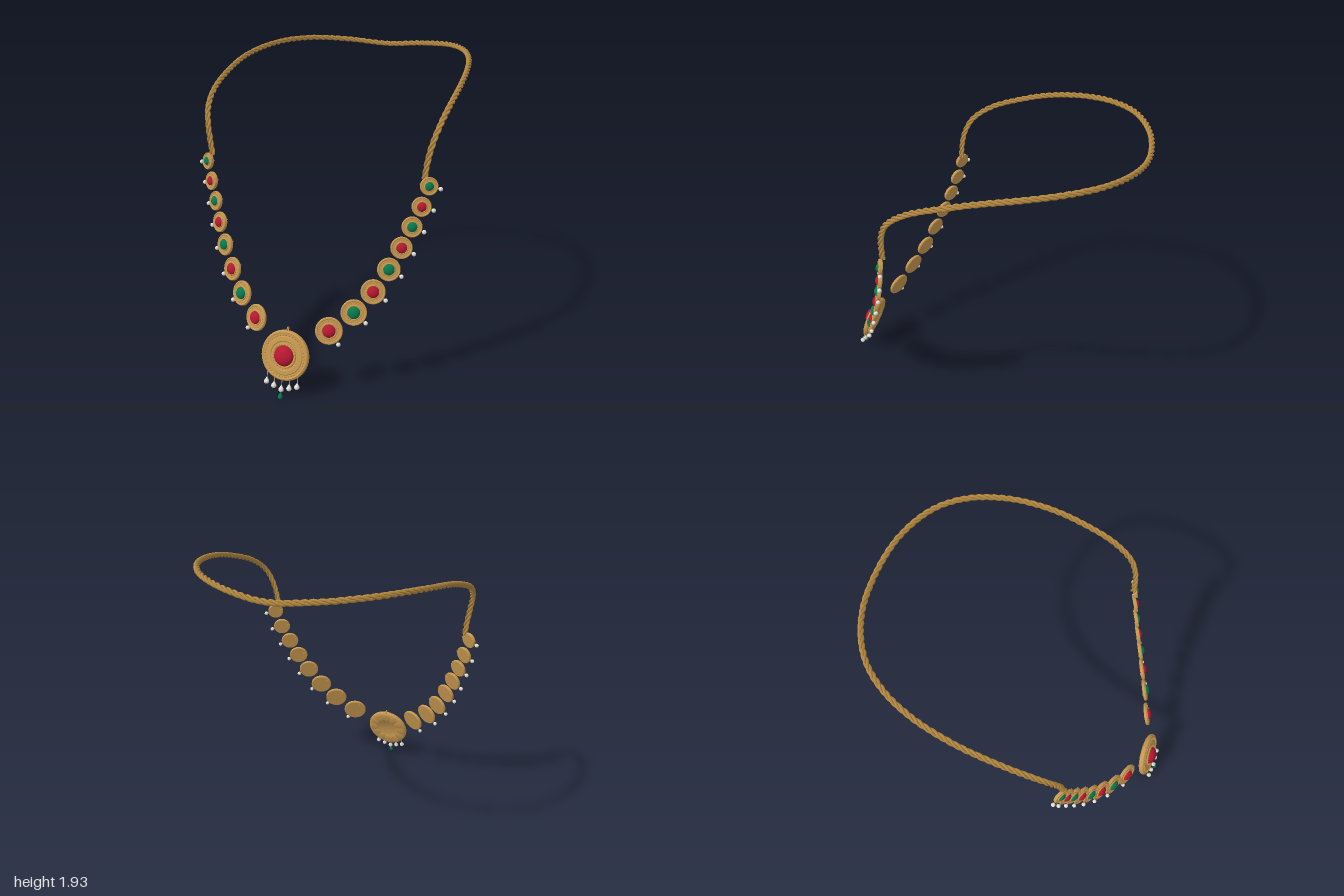
import * as THREE from 'three';
import { toCreasedNormals } from 'three/addons/utils/BufferGeometryUtils.js';

const mat = (name, color) => {
  const m = new THREE.MeshStandardMaterial({ color });
  m.name = name;
  return m;
};

export function createModel() {
  const gold = mat('gold', 0xc6974f);
  const chainGold = mat('chain gold', 0xb4883f);
  const ruby = mat('ruby', 0xb81830);
  const emerald = mat('emerald', 0x067a4e);
  const pearl = mat('pearl', 0xe4dfd7);
  const necklace = new THREE.Group();
  necklace.name = 'necklace';

  const add = (parent, name, geometry, material, x = 0, y = 0, z = 0) => {
    const m = new THREE.Mesh(geometry, material);
    m.name = name;
    m.position.set(x, y, z);
    parent.add(m);
    return m;
  };

  // Turned profile of [radius, height] pairs, axis along z
  const turned = (pts, sides = 40) => toCreasedNormals(
    new THREE.LatheGeometry(pts.map(p => new THREE.Vector2(...p)), sides).rotateX(Math.PI / 2), 0.6);

  // Half-sphere stone facing +z
  const dome = (r, h) => new THREE.SphereGeometry(r, 24, 8, 0, Math.PI * 2, 0, Math.PI / 2)
    .rotateX(Math.PI / 2).scale(1, 1, h / r);

  const beadRing = (parent, name, count, ringR, beadR, z) => {
    const ring = new THREE.Group();
    ring.name = name;
    const geo = new THREE.SphereGeometry(beadR, 8, 6);
    for (let i = 0; i < count; i++) {
      const a = (i / count) * Math.PI * 2;
      add(ring, 'bead', geo, gold, Math.cos(a) * ringR, Math.sin(a) * ringR, z);
    }
    parent.add(ring);
  };

  // Teardrop hanging along -y, centred on its bulb
  const drop = (r, h) => new THREE.LatheGeometry([
    [0, -0.42], [0.55, -0.36], [0.92, -0.2], [1, -0.04], [0.82, 0.14], [0.4, 0.36], [0.12, 0.55], [0, 0.58],
  ].map(([x, y]) => new THREE.Vector2(x * r, y * h)), 14);

  // Three-strand twisted chain, mirrored half path
  const half = [[0.70, 1.315, 0.44], [0.715, 1.42, 0.435], [0.733, 1.51, 0.418], [0.756, 1.602, 0.37],
    [0.779, 1.70, 0.24], [0.79, 1.792, 0], [0.778, 1.85, -0.21], [0.735, 1.888, -0.43],
    [0.65, 1.91, -0.635], [0.51, 1.913, -0.808], [0.28, 1.896, -0.934]];
  const path = new THREE.CatmullRomCurve3([
    ...half.map(p => new THREE.Vector3(...p)),
    new THREE.Vector3(0, 1.873, -0.978),
    ...half.slice().reverse().map(([x, y, z]) => new THREE.Vector3(-x, y, z)),
  ]);
  path.arcLengthDivisions = 800;
  const N = 700;
  const frames = path.computeFrenetFrames(N, false);
  const centres = path.getSpacedPoints(N);
  const turns = path.getLength() / 0.14;
  const chain = new THREE.Group();
  chain.name = 'chain';
  for (let s = 0; s < 3; s++) {
    const pts = centres.map((c, i) => {
      const a = (i / N) * turns * Math.PI * 2 + (s * Math.PI * 2) / 3;
      return c.clone().addScaledVector(frames.normals[i], Math.cos(a) * 0.0105)
        .addScaledVector(frames.binormals[i], Math.sin(a) * 0.0105);
    });
    add(chain, 'chainStrand', new THREE.TubeGeometry(new THREE.CatmullRomCurve3(pts), N, 0.0088, 6), chainGold);
  }
  necklace.add(chain);

  // Round medallion with stone, beading and a side pearl on local +x
  const medallion = (r, stone) => {
    const g = new THREE.Group();
    add(g, 'medallionPlate', turned([[0, -0.01], [0.94 * r, -0.01], [r, -0.005], [r, 0.006], [0.95 * r, 0.011],
      [0.87 * r, 0.011], [0.83 * r, 0.008], [0, 0.008]]), gold);
    add(g, 'stoneCollar', turned([[0.6 * r, 0.007], [0.58 * r, 0.012], [0.52 * r, 0.014], [0.46 * r, 0.009]], 28), gold);
    add(g, 'stone', dome(0.48 * r, 0.3 * r), stone, 0, 0, 0.01);
    beadRing(g, 'medallionBeads', 24, 0.74 * r, 0.045 * r, 0.008);
    const wire = new THREE.CylinderGeometry(0.003, 0.003, 0.024, 6).rotateZ(Math.PI / 2);
    add(g, 'pearlWire', wire, gold, r + 0.004, 0, 0.002);
    add(g, 'backLink', wire, gold, -0.8 * r, 0, -0.011);
    add(g, 'sidePearl', new THREE.SphereGeometry(0.0135, 14, 10), pearl, r + 0.017, 0, 0.003);
    return g;
  };

  // x, y, z, radius, pearl direction in degrees
  const stations = [
    [0.731, 1.273, 0.445, 0.054, -16], [0.697, 1.151, 0.472, 0.059, -19],
    [0.653, 1.032, 0.508, 0.062, -25], [0.605, 0.909, 0.551, 0.066, -28],
    [0.546, 0.782, 0.602, 0.07, -31], [0.469, 0.649, 0.659, 0.075, -36],
    [0.372, 0.526, 0.725, 0.079, -43], [0.241, 0.414, 0.796, 0.083, -56]];
  stations.forEach(([x, y, z, r, deg], i) => {
    const yaw = THREE.MathUtils.degToRad(29 - i * 1.1);
    const pitch = THREE.MathUtils.degToRad(10 + i * 0.8);
    const a = THREE.MathUtils.degToRad(deg);
    for (const side of [1, -1]) {
      const m = medallion(r, i % 2 ? ruby : emerald);
      m.name = side > 0 ? 'leftMedallion' : 'rightMedallion';
      m.position.set(side * x, y, z);
      m.rotation.set(-pitch, side * yaw, side > 0 ? a : Math.PI - a, 'YXZ');
      necklace.add(m);
    }
  });

  // Large centre pendant
  const pendant = new THREE.Group();
  pendant.name = 'pendant';
  pendant.position.set(0, 0.256, 0.902);
  pendant.rotation.x = -0.285;
  add(pendant, 'pendantPlate', turned([[0, -0.014], [0.09, -0.014], [0.1, -0.02], [0.14, -0.02], [0.151, -0.013],
    [0.155, 0], [0.151, 0.013], [0.142, 0.019], [0.137, 0.016], [0.118, 0.016], [0.114, 0.02],
    [0.09, 0.021], [0.086, 0.017], [0, 0.017]], 56), gold);
  add(pendant, 'pendantCollar', turned([[0.078, 0.016], [0.076, 0.023], [0.068, 0.026], [0.056, 0.016]]), gold);
  add(pendant, 'pendantStone', dome(0.063, 0.044), ruby, 0, 0, 0.018);
  beadRing(pendant, 'pendantBeads', 40, 0.127, 0.0055, 0.017);
  beadRing(pendant, 'pendantCollarBeads', 24, 0.072, 0.005, 0.024);
  // Shallow lobes on the back
  const lobe = new THREE.SphereGeometry(0.036, 14, 8).scale(1, 0.9, 0.13);
  for (let i = 0; i < 12; i++) {
    const a = (i / 12) * Math.PI * 2;
    add(pendant, 'backLobe', lobe, gold, Math.cos(a) * 0.112, Math.sin(a) * 0.112, -0.018).rotation.z = a;
  }
  add(pendant, 'bail', new THREE.TorusGeometry(0.012, 0.004, 8, 18).rotateY(Math.PI / 2), gold, 0, 0.16, 0);

  // Fringe of pearl drops, with an emerald at the centre
  const wireTo = (x, top, bottom) => add(pendant, 'dropWire',
    new THREE.CylinderGeometry(0.0025, 0.0025, top - bottom, 6), gold, x, (top + bottom) / 2, 0.012);
  [-0.1, -0.05, 0, 0.05, 0.1].forEach((x, i) => {
    const y = [-0.172, -0.189, -0.204, -0.189, -0.172][i];
    wireTo(x, -Math.sqrt(0.148 ** 2 - x * x), y);
    add(pendant, 'pearlDrop', drop(0.0165, 0.045), pearl, x, y, 0.014);
  });
  wireTo(0, -0.21, -0.24);
  add(pendant, 'emeraldDrop', drop(0.014, 0.045), emerald, 0, -0.248, 0.016);
  necklace.add(pendant);

  return necklace;
}
